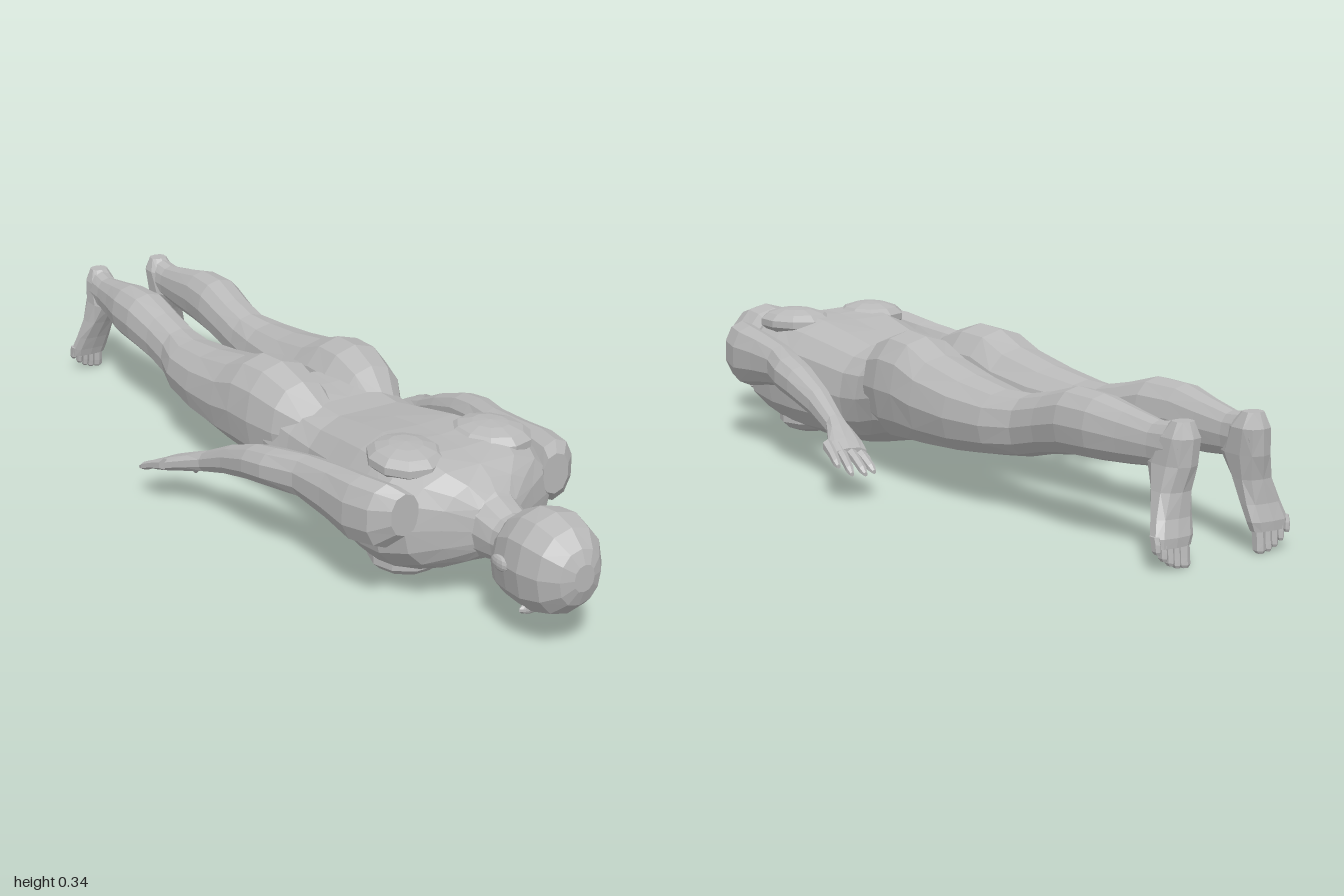
import * as THREE from 'three';

const skin = new THREE.MeshStandardMaterial({ color: 0xb8b8b8, flatShading: true });
skin.name = 'plain grey';

// Rows are [position along axis, centre x, half width, high, low, groove].
// Axis 'z': high/low are heights. Axis 'y': high/low are depths.
function loft(name, rows, { sides = 12, power = 2.2, axis = 'z', mirror = 1 } = {}) {
  const pos = [], index = [];
  const put = (x, v, a) => (axis === 'z' ? pos.push(x * mirror, v, a) : pos.push(x * mirror, a, v));
  const round = (t) => Math.sign(t) * Math.pow(Math.abs(t), 2 / power);
  for (const [a, cx, rx, high, low, groove = 0] of rows) {
    for (let i = 0; i < sides; i++) {
      const t = (i / sides) * Math.PI * 2;
      let v = (high + low) / 2 + round(Math.cos(t)) * (high - low) / 2;
      if (i === 0) v -= groove;
      if (i * 2 === sides) v += groove * 0.5;
      put(cx + round(Math.sin(t)) * rx, v, a);
    }
  }
  for (let r = 0; r < rows.length - 1; r++) {
    for (let i = 0; i < sides; i++) {
      const j = (i + 1) % sides, p = r * sides, q = p + sides;
      if ((r + i) % 2) index.push(p + i, p + j, q + i, p + j, q + j, q + i);
      else index.push(p + i, p + j, q + j, p + i, q + j, q + i);
    }
  }
  // end caps
  const last = (rows.length - 1) * sides;
  for (let i = 1; i < sides - 1; i++) {
    index.push(0, i + 1, i, last, last + i, last + i + 1);
  }
  // turn the faces outward, whatever the axis, direction or mirroring
  let volume = 0;
  const v = (k) => new THREE.Vector3().fromArray(pos, index[k] * 3);
  for (let k = 0; k < index.length; k += 3) volume += v(k).dot(v(k + 1).cross(v(k + 2)));
  if (volume < 0) index.reverse();
  const geo = new THREE.BufferGeometry();
  geo.setAttribute('position', new THREE.Float32BufferAttribute(pos, 3));
  geo.setIndex(index);
  const flat = geo.toNonIndexed();
  flat.computeVertexNormals();
  const mesh = new THREE.Mesh(flat, skin);
  mesh.name = name;
  return mesh;
}

// faceted muscle bump
function bump(name, x, y, z, sx, sy, sz, turn = 0) {
  const mesh = new THREE.Mesh(new THREE.SphereGeometry(1, 10, 7), skin);
  mesh.position.set(x, y, z);
  mesh.scale.set(sx, sy, sz);
  mesh.rotation.y = turn;
  mesh.name = name;
  return mesh;
}

function createHead() {
  const head = new THREE.Group();
  head.name = 'head';
  head.add(
    loft('skull', [
      [0.998, 0, 0.025, 0.22, 0.16], [0.985, 0, 0.052, 0.25, 0.125], [0.95, 0, 0.082, 0.282, 0.09],
      [0.9, 0, 0.095, 0.296, 0.073], [0.85, 0, 0.091, 0.29, 0.07], [0.8, 0, 0.077, 0.262, 0.068],
      [0.765, 0, 0.056, 0.225, 0.068], [0.745, 0, 0.034, 0.19, 0.08],
    ]),
    loft('neck', [
      [0.82, 0, 0.055, 0.24, 0.13], [0.76, 0, 0.056, 0.236, 0.125], [0.71, 0, 0.064, 0.255, 0.115],
      [0.65, 0, 0.1, 0.295, 0.1],
    ]),
    loft('nose', [
      [0.872, 0, 0.009, 0.09, 0.068], [0.835, 0, 0.014, 0.09, 0.052], [0.818, 0, 0.019, 0.09, 0.046],
      [0.808, 0, 0.014, 0.09, 0.06],
    ], { sides: 6 }),
    bump('lips', 0, 0.07, 0.788, 0.024, 0.011, 0.009),
    bump('chin', 0, 0.076, 0.76, 0.026, 0.018, 0.016),
  );
  for (const s of [-1, 1]) {
    head.add(bump('ear', s * 0.089, 0.18, 0.84, 0.009, 0.017, 0.028));
    head.add(bump('brow', s * 0.034, 0.081, 0.876, 0.03, 0.013, 0.01));
  }
  return head;
}

function createTorso() {
  const torso = new THREE.Group();
  torso.name = 'torso';
  torso.add(loft('trunk', [
    [0.71, 0, 0.062, 0.25, 0.125], [0.68, 0, 0.12, 0.285, 0.1], [0.645, 0, 0.19, 0.31, 0.078, 0.006],
    [0.58, 0, 0.222, 0.33, 0.048, 0.014], [0.5, 0, 0.214, 0.332, 0.026, 0.016],
    [0.42, 0, 0.2, 0.324, 0.02, 0.014], [0.32, 0, 0.182, 0.305, 0.022, 0.01],
    [0.22, 0, 0.167, 0.284, 0.031, 0.008], [0.14, 0, 0.171, 0.284, 0.046, 0.006],
    [0.06, 0, 0.182, 0.295, 0.068, 0.01], [-0.02, 0, 0.18, 0.285, 0.086],
    [-0.09, 0, 0.12, 0.25, 0.098], [-0.13, 0, 0.05, 0.2, 0.12],
  ], { sides: 16, power: 2.5 }));
  for (const s of [-1, 1]) {
    torso.add(bump('shoulderBlade', s * 0.11, 0.302, 0.53, 0.085, 0.036, 0.1, s * 0.25));
    torso.add(bump('chestMuscle', s * 0.085, 0.06, 0.5, 0.085, 0.038, 0.085));
  }
  return torso;
}

function createArm(s) {
  const arm = new THREE.Group();
  arm.name = s > 0 ? 'leftArm' : 'rightArm';
  arm.add(loft('armAndPalm', [
    [0.655, 0.195, 0.035, 0.285, 0.19], [0.62, 0.218, 0.05, 0.3, 0.155], [0.55, 0.233, 0.051, 0.297, 0.145],
    [0.46, 0.237, 0.046, 0.286, 0.16], [0.36, 0.248, 0.041, 0.274, 0.175], [0.27, 0.272, 0.046, 0.262, 0.172],
    [0.2, 0.281, 0.042, 0.248, 0.162], [0.1, 0.288, 0.032, 0.21, 0.138], [0.01, 0.3, 0.025, 0.165, 0.112],
    [-0.03, 0.312, 0.034, 0.15, 0.102], [-0.08, 0.328, 0.045, 0.13, 0.09], [-0.115, 0.337, 0.046, 0.112, 0.082],
  ], { sides: 10, mirror: s }));
  // root x, root y, root z, tip x, tip y, tip z
  const digits = [
    [0.37, 0.115, -0.075, 0.389, 0.083, -0.155], [0.352, 0.11, -0.09, 0.368, 0.067, -0.178],
    [0.33, 0.106, -0.095, 0.336, 0.064, -0.182], [0.308, 0.104, -0.09, 0.305, 0.063, -0.168],
    [0.3, 0.12, -0.025, 0.273, 0.064, -0.1],
  ];
  for (const [x, y, z, tx, ty, tz] of digits) {
    const rows = [[0, 0.014], [0.5, 0.011], [0.85, 0.01], [1, 0.005]].map(([t, r]) => {
      const cy = y + (ty - y) * (t * 0.7 + t * t * 0.3);
      return [z + (tz - z) * t, x + (tx - x) * t, r, cy + r, cy - r];
    });
    arm.add(loft('finger', rows, { sides: 6, mirror: s }));
  }
  return arm;
}

function createLeg(s) {
  const leg = new THREE.Group();
  leg.name = s > 0 ? 'leftLeg' : 'rightLeg';
  leg.add(loft('buttockThighAndCalf', [
    [0.16, 0.08, 0.055, 0.272, 0.14], [0.09, 0.094, 0.085, 0.318, 0.1], [0.01, 0.1, 0.099, 0.343, 0.085],
    [-0.07, 0.104, 0.1, 0.338, 0.09], [-0.15, 0.105, 0.1, 0.306, 0.095], [-0.28, 0.108, 0.093, 0.28, 0.105],
    [-0.4, 0.11, 0.077, 0.266, 0.12], [-0.48, 0.101, 0.06, 0.268, 0.13], [-0.56, 0.101, 0.06, 0.285, 0.15],
    [-0.65, 0.105, 0.065, 0.31, 0.165], [-0.74, 0.107, 0.058, 0.308, 0.17], [-0.82, 0.1, 0.045, 0.292, 0.176],
    [-0.9, 0.095, 0.035, 0.278, 0.185], [-0.95, 0.092, 0.035, 0.284, 0.18], [-0.985, 0.091, 0.028, 0.275, 0.2],
  ], { mirror: s }));
  leg.add(loft('foot', [
    [0.287, 0.09, 0.022, -0.945, -0.985], [0.255, 0.09, 0.036, -0.915, -0.998], [0.2, 0.094, 0.037, -0.885, -0.996],
    [0.15, 0.104, 0.04, -0.915, -0.985], [0.1, 0.115, 0.046, -0.942, -0.988], [0.065, 0.123, 0.049, -0.957, -0.998],
    [0.045, 0.126, 0.045, -0.964, -0.997],
  ], { sides: 10, power: 2.6, axis: 'y', mirror: s }));
  // toes, from big to little
  for (let i = 0; i < 5; i++) {
    const r = i === 0 ? 0.013 : 0.0095 - i * 0.0005;
    const x = 0.098 + i * 0.0165 + (i ? 0.003 : 0), tip = 0.0005 + i * i * 0.0022;
    leg.add(loft('toe', [
      [0.07, x, r, -0.965, -0.993], [tip + 0.02, x, r, -0.97, -0.997],
      [tip + 0.006, x, r, -0.973, -0.998], [tip, x, r * 0.6, -0.98, -0.995],
    ], { sides: 6, axis: 'y', mirror: s }));
  }
  return leg;
}

export function createModel() {
  const model = new THREE.Group();
  model.name = 'lyingFigure';
  model.add(createHead(), createTorso());
  // smooth pelvis front between the thighs
  model.add(bump('groin', 0, 0.1, -0.03, 0.045, 0.03, 0.06));
  for (const s of [1, -1]) model.add(createArm(s), createLeg(s));
  return model;
}
